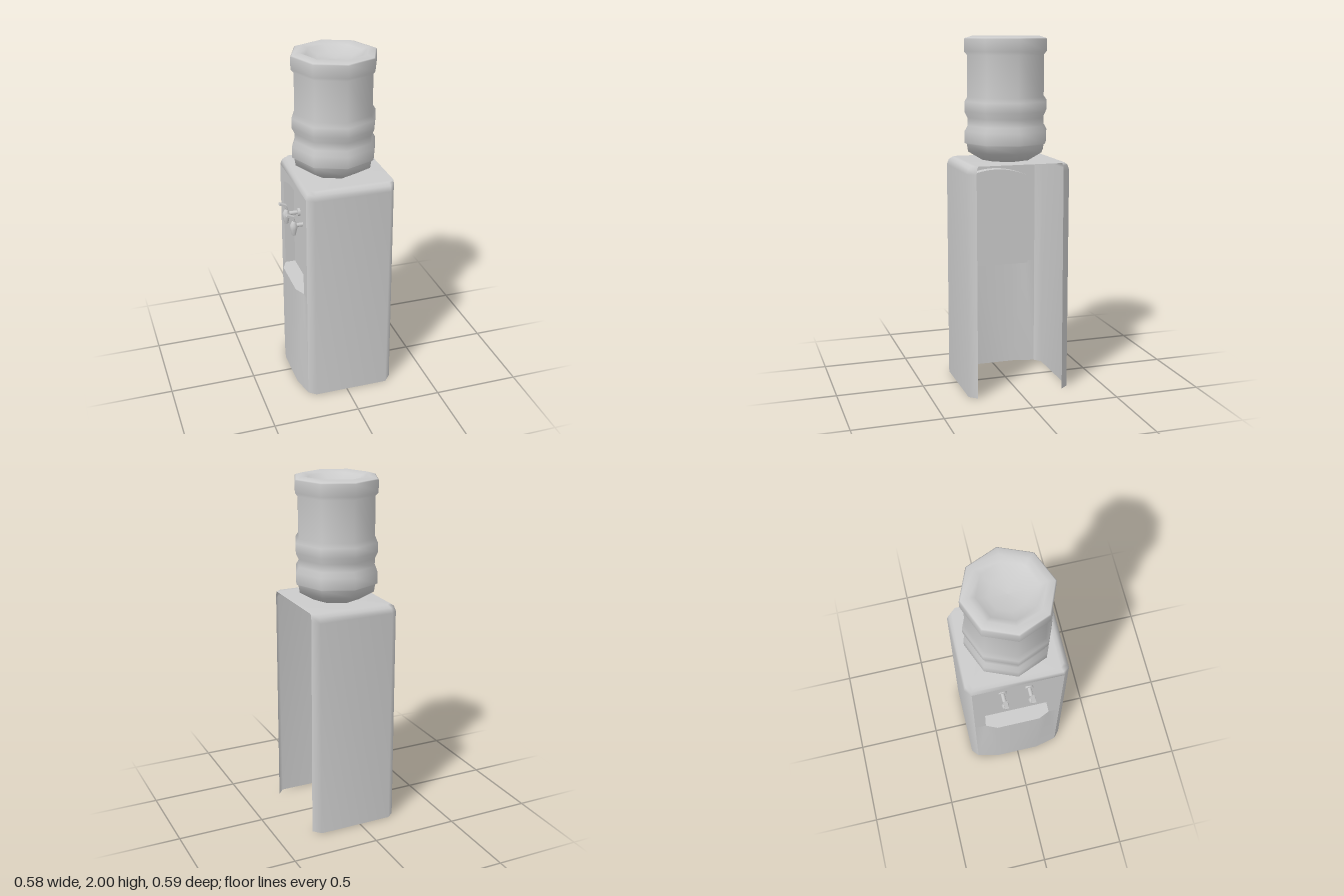
import * as THREE from 'three';
import { toCreasedNormals } from 'three/addons/utils/BufferGeometryUtils.js';

const material = new THREE.MeshStandardMaterial({ color: 0xcccccc, side: THREE.DoubleSide });

function add(parent, name, geometry, x = 0, y = 0, z = 0) {
  const mesh = new THREE.Mesh(geometry, material);
  mesh.name = name;
  mesh.position.set(x, y, z);
  parent.add(mesh);
  return mesh;
}

function fromPoints(points, index) {
  const g = new THREE.BufferGeometry();
  g.setAttribute('position', new THREE.Float32BufferAttribute(points.flat(), 3));
  g.setIndex(index);
  g.computeVertexNormals();
  return g;
}

// Skin between rows of points; skip(row, column) leaves a gap
function skin(rows, skip = () => false) {
  const n = rows[0].length, index = [];
  for (let r = 0; r < rows.length - 1; r++) {
    for (let i = 0; i < n - 1; i++) {
      if (skip(r, i)) continue;
      const a = r * n + i, b = a + n;
      index.push(a, b, b + 1, a, b + 1, a + 1);
    }
  }
  return { points: rows.flat(), index };
}

// Cabinet shell: U-shaped plan, open at the rear (+x), bevelled at the top
function shellGeometry() {
  const ring = ([y, inset, rear]) => {
    const half = [
      [rear, y, 0.25 - inset * 0.3], [0.245, y, 0.295 - inset],
      [-0.19 + inset * 0.5, y, 0.295 - inset], [-0.23 + inset, y, 0.26 - inset * 0.5],
    ];
    return [...half, ...half.map(([x, h, z]) => [x, h, -z]).reverse()];
  };
  const rows = [[0, 0, 0.285], [1.265, 0, 0.278], [1.295, 0.01, 0.278], [1.31, 0.03, 0.278]].map(ring);
  const { points, index } = skin(rows, (r, i) => r === 0 && i === 3);
  const top = 3 * 8;
  for (let i = 1; i < 7; i++) index.push(top, top + i + 1, top + i);
  return fromPoints(points, index);
}

// Arched outline of the tap recess, as (z, y)
function archPoints() {
  const pts = [[-0.195, 0.645]];
  for (let i = 0; i <= 12; i++) {
    const t = i / 6 - 1;
    pts.push([0.195 * t, 1.18 + 0.043 * (1 - t * t)]);
  }
  pts.push([0.195, 0.645]);
  return pts.map(([x, y]) => new THREE.Vector2(x, y));
}

// Tapping face with its recess and the bulging lower panel
function addFrontPanel(parent) {
  const faceX = -0.23, backX = -0.17, arch = archPoints();

  const face = new THREE.Shape([
    new THREE.Vector2(-0.26, 0.645), ...arch.slice(0, 1), ...arch.slice(1),
    new THREE.Vector2(0.26, 0.645), new THREE.Vector2(0.26, 1.265), new THREE.Vector2(-0.26, 1.265),
  ]);
  add(parent, 'recessSurround', new THREE.ShapeGeometry(face), faceX).rotation.y = -Math.PI / 2;
  add(parent, 'recessBack', new THREE.ShapeGeometry(new THREE.Shape(arch)), backX).rotation.y = -Math.PI / 2;

  const wall = skin([faceX, backX].map((x) => arch.map((p) => [x, p.y, p.x])));
  add(parent, 'recessWall', toCreasedNormals(fromPoints(wall.points, wall.index), 0.8));

  // Ledge under the recess
  const ledge = new THREE.Shape([[backX, -0.195], [faceX, -0.195], [-0.26, -0.13],
    [-0.26, 0.13], [faceX, 0.195], [backX, 0.195]].map(([x, z]) => new THREE.Vector2(x, -z)));
  add(parent, 'recessLedge', new THREE.ShapeGeometry(ledge), 0, 0.645).rotation.x = -Math.PI / 2;

  // Lower bulge: the right half is mirrored from the left
  const side = [[-0.23, 0.645, 0.26], [-0.23, 0.645, 0.195], [-0.26, 0.645, 0.13],
    [-0.23, 0, 0.26], [-0.26, 0, 0.13]];
  const points = [...side, ...side.map(([x, y, z]) => [x, y, -z])];
  const half = [0, 1, 3, 1, 2, 4, 1, 4, 3];
  const index = [...half];
  for (let i = 0; i < half.length; i += 3) index.push(half[i] + 5, half[i + 2] + 5, half[i + 1] + 5);
  index.push(2, 7, 9, 2, 9, 4);
  add(parent, 'lowerPanel', fromPoints(points, index));
}

function createTap() {
  const tap = new THREE.Group();
  tap.name = 'tap';
  add(tap, 'tapFlange', new THREE.CylinderGeometry(0.024, 0.024, 0.014, 8), -0.177, 1.03).rotation.z = Math.PI / 2;
  add(tap, 'tapPipe', new THREE.CylinderGeometry(0.012, 0.012, 0.07, 8), -0.213, 1.03).rotation.z = Math.PI / 2;
  // Spout widens around the valve and narrows to the outlet
  const spout = [[0, 0.97], [0.011, 0.97], [0.021, 1.01], [0.021, 1.035], [0.01, 1.055], [0, 1.055]]
    .map(([r, y]) => new THREE.Vector2(r, y));
  add(tap, 'tapSpout', toCreasedNormals(new THREE.LatheGeometry(spout, 8), 0.9), -0.25);
  add(tap, 'leverStem', new THREE.CylinderGeometry(0.007, 0.007, 0.04, 6), -0.249, 1.065).rotation.z = 0.2;
  const lever = add(tap, 'lever', new THREE.BoxGeometry(0.045, 0.012, 0.024), -0.27, 1.09);
  lever.rotation.z = -0.4;
  return tap;
}

// Eight-sided bottle with two raised bands, a collar and a dished top
function bottleGeometry() {
  const profile = [
    [0, 1.305], [0.14, 1.31], [0.223, 1.36], [0.23, 1.402], [0.243, 1.41], [0.243, 1.475],
    [0.226, 1.505], [0.226, 1.55], [0.243, 1.585], [0.243, 1.64], [0.226, 1.665], [0.226, 1.895],
    [0.243, 1.915], [0.243, 1.983], [0.236, 1.988], [0.195, 2], [0.16, 1.985], [0.1, 1.955], [0, 1.95],
  ].map(([r, y]) => new THREE.Vector2(r, y));
  return new THREE.LatheGeometry(profile, 8);
}

export function createModel() {
  const model = new THREE.Group();
  model.name = 'waterCooler';

  const cabinet = new THREE.Group();
  cabinet.name = 'cabinet';
  add(cabinet, 'cabinetShell', shellGeometry());
  addFrontPanel(cabinet);
  model.add(cabinet);

  for (const z of [-0.078, 0.078]) {
    const tap = createTap();
    tap.position.z = z;
    model.add(tap);
  }

  add(model, 'bottle', bottleGeometry(), 0.013);
  return model;
}
